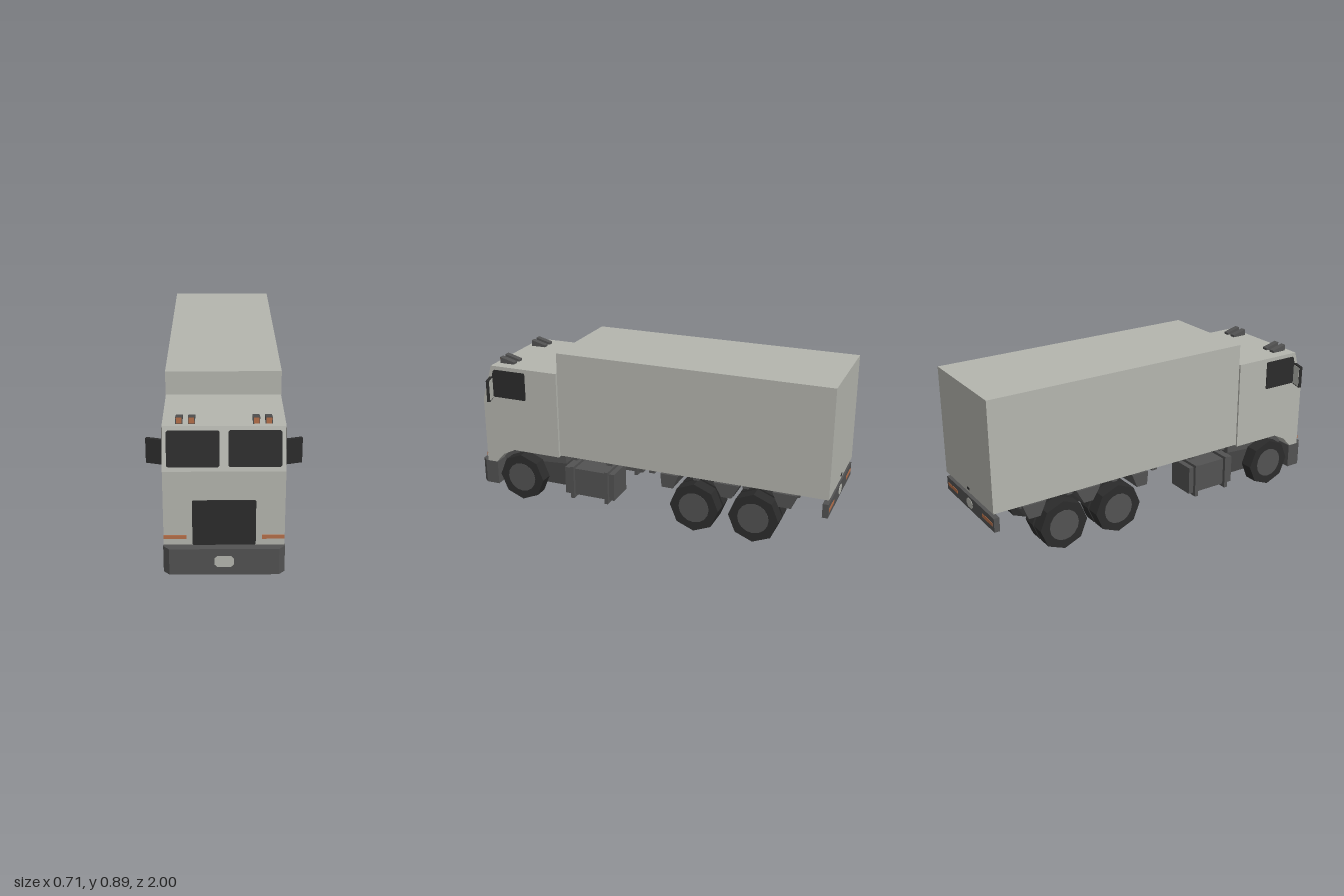
import * as THREE from 'three';

const material = (name, color) => {
  const m = new THREE.MeshStandardMaterial({ color });
  m.name = name;
  return m;
};

export function createModel() {
  const truck = new THREE.Group();
  truck.name = 'boxTruck';
  const paint = material('paleGreyPaint', 0xb4b5ae);
  const metal = material('chassisGrey', 0x525252);
  const under = material('underbodyGrey', 0x454545);
  const black = material('glassBlack', 0x2b2b2b);
  const tyre = material('tyreRubber', 0x2c2c2c);
  const orange = material('lampOrange', 0xb56f49);

  const add = (name, geo, mat, x = 0, y = 0, z = 0) => {
    const mesh = new THREE.Mesh(geo, mat);
    mesh.name = name;
    mesh.position.set(x, y, z);
    truck.add(mesh);
    return mesh;
  };
  // Box given by its extents on each axis
  const box = (name, mat, [x0, x1], [y0, y1], [z0, z1]) =>
    add(name, new THREE.BoxGeometry(x1 - x0, y1 - y0, z1 - z0), mat,
      (x0 + x1) / 2, (y0 + y1) / 2, (z0 + z1) / 2);
  const extrude = (points, depth) => {
    const shape = new THREE.Shape(points.map(p => new THREE.Vector2(...p)));
    return new THREE.ExtrudeGeometry(shape, { depth, bevelEnabled: false })
      .translate(0, 0, -depth / 2);
  };
  // Side profile in (z, y), extruded across the width
  const across = (points, width) => extrude(points, width).rotateY(-Math.PI / 2);
  // Thin rectangle with clipped corners, facing z
  const plate = (w, h, c) => {
    const a = w / 2, b = h / 2;
    return extrude([[-a + c, -b], [a - c, -b], [a, -b + c], [a, b - c],
      [a - c, b], [-a + c, b], [-a, b - c], [-a, -b + c]], 0.006);
  };

  // Cargo body
  box('cargoBody', paint, [-0.283, 0.283], [0.31, 0.895], [-1, 0.49]);
  box('doorLatch', black, [-0.012, 0.012], [0.325, 0.337], [-1.003, -0.998]);

  // Cab with sloping windscreen and wheel arch cut
  add('cab', across([[0.5, 0.295], [0.78, 0.295], [0.85, 0.26], [0.9, 0.205],
    [0.957, 0.205], [0.957, 0.58], [0.897, 0.778], [0.5, 0.778]], 0.562), paint);
  add('cabFender', across([[0.5, 0.225], [0.89, 0.2], [0.9, 0.207], [0.85, 0.261],
    [0.78, 0.294], [0.5, 0.294]], 0.4), metal);
  box('cabUnderbody', under, [-0.195, 0.195], [0.09, 0.225], [0.5, 0.89]);

  // Cab front details
  add('grille', plate(0.294, 0.23, 0.005), black, 0, 0.321, 0.958);
  add('bumper', extrude([[-0.283, -0.895], [-0.283, -0.97], [-0.255, -1],
    [0.255, -1], [0.283, -0.97], [0.283, -0.895]].reverse(), 0.135)
    .rotateX(-Math.PI / 2), metal, 0, 0.1375, 0);
  add('frontPlate', plate(0.09, 0.06, 0.014), paint, 0, 0.14, 0.998);

  for (const s of [-1, 1]) {
    const windscreen = add('windscreen', plate(0.242, 0.167, 0.007), black, s * 0.141, 0.68, 0.928);
    windscreen.rotation.x = -Math.atan2(0.06, 0.198);
    add('sideWindow', across([[0.69, 0.605], [0.695, 0.6], [0.92, 0.6], [0.922, 0.61],
      [0.885, 0.75], [0.875, 0.757], [0.695, 0.757], [0.69, 0.752]], 0.006), black, s * 0.281);
    box('turnSignal', orange, s < 0 ? [-0.281, -0.175] : [0.175, 0.281], [0.237, 0.256], [0.955, 0.961]);

    // Angled door mirror with a pale rear face
    const mirror = new THREE.Group();
    mirror.name = 'mirror';
    const shell = new THREE.Mesh(new THREE.BoxGeometry(0.076, 0.122, 0.016), black);
    shell.name = 'mirrorShell';
    const glass = new THREE.Mesh(new THREE.BoxGeometry(0.066, 0.11, 0.004), paint);
    glass.name = 'mirrorGlass';
    glass.position.z = -0.008;
    mirror.add(shell, glass);
    mirror.position.set(s * 0.318, 0.654, 0.89);
    mirror.rotation.y = s * 0.29;
    truck.add(mirror);

    // Wedge-shaped roof lamps
    for (const x of [0.147, 0.204]) {
      add('roofLampHousing', across([[0.787, 0.777], [0.872, 0.777], [0.872, 0.812],
        [0.787, 0.79]], 0.032), metal, s * x);
      add('roofLamp', plate(0.026, 0.028, 0.001), orange, s * x, 0.795, 0.871);
    }

    // Frame rail, storage box and its straps
    box('frameRail', metal, s < 0 ? [-0.1, -0.06] : [0.06, 0.1], [0.22, 0.28], [-0.98, 0.6]);
    box('storageBox', metal, s < 0 ? [-0.281, -0.12] : [0.12, 0.281], [0.09, 0.245], [0.17, 0.465]);
    for (const z of [0.21, 0.415])
      box('strap', metal, s < 0 ? [-0.299, -0.11] : [0.11, 0.299], [0.072, 0.26], [z - 0.01, z + 0.01]);

    // Rear mudguard pieces between the wheels
    for (const [a, b, c, d] of [[-0.2, -0.1, -0.107, -0.17], [-0.535, -0.395, -0.44, -0.495],
      [-0.84, -0.71, -0.745, -0.81]])
      add('mudguard', across([[a, 0.3], [d, 0.225], [c, 0.225], [b, 0.3]], 0.16), metal, s * 0.198);

    box('tailLamp', orange, s < 0 ? [-0.265, -0.15] : [0.15, 0.265], [0.237, 0.256], [-1.002, -0.995]);
  }

  // Cross members and rear beam
  for (const z of [0.42, 0.21, -0.04, -0.29, -0.56, -0.83]) {
    box('crossBeam', metal, [-0.25, 0.25], [0.28, 0.311], [z - 0.016, z + 0.016]);
    box('frameCrossMember', metal, [-0.07, 0.07], [0.23, 0.275], [z - 0.02, z + 0.02]);
  }
  box('rearBeam', metal, [-0.283, 0.283], [0.21, 0.285], [-1, -0.97]);
  add('rearPlate', plate(0.07, 0.05, 0.016), paint, 0, 0.247, -0.999);

  // Wheels: single in front, twin behind
  const cylinder = (r, w, n) => new THREE.CylinderGeometry(r, r, w, n).rotateZ(Math.PI / 2).toNonIndexed();
  const tyreGeo = cylinder(0.135, 0.075, 8);
  tyreGeo.computeVertexNormals();
  const hubGeo = cylinder(0.084, 0.079, 16);
  const axleGeo = cylinder(0.03, 0.44, 8);
  axleGeo.computeVertexNormals();
  for (const z of [0.742, -0.29, -0.615]) {
    add('axle', axleGeo, metal, 0, 0.135, z);
    for (const s of [-1, 1])
      for (const x of z > 0 ? [0.243] : [0.243, 0.153]) {
        add('tyre', tyreGeo, tyre, s * x, 0.135, z);
        add('hub', hubGeo, metal, s * x, 0.135, z);
      }
  }
  return truck;
}
